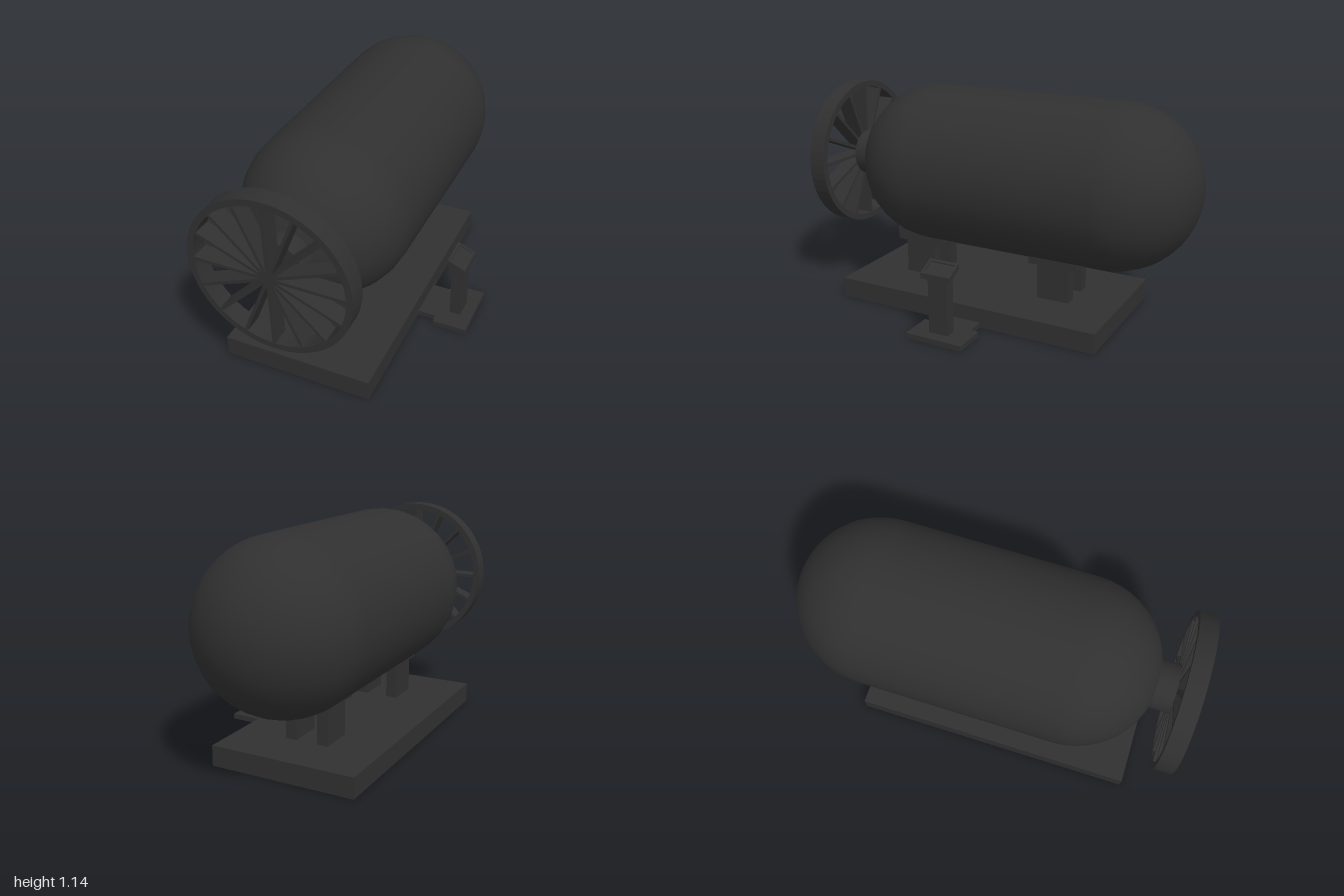
import * as THREE from 'three';

export function createModel() {
  const model = new THREE.Group();
  const iron = new THREE.MeshStandardMaterial({ color: 0x303030 });
  iron.name = 'dark iron';

  const add = (name, geometry, parent = model) => {
    const mesh = new THREE.Mesh(geometry, iron);
    mesh.name = name;
    parent.add(mesh);
    return mesh;
  };
  // Box given by its limits on each axis
  const box = (name, x0, x1, y0, y1, z0, z1, parent = model) => {
    const mesh = add(name, new THREE.BoxGeometry(x1 - x0, y1 - y0, z1 - z0), parent);
    mesh.position.set((x0 + x1) / 2, (y0 + y1) / 2, (z0 + z1) / 2);
    return mesh;
  };

  const cx = -0.115, cy = 0.728, radius = 0.417;

  // Round-ended tank lying along z
  const tank = add('tank', new THREE.CapsuleGeometry(radius, 1.0, 12, 32));
  tank.rotation.x = Math.PI / 2;
  tank.position.set(cx, cy, -0.083);

  // Front wheel: rim, spokes and the neck joining it to the tank
  const wheel = new THREE.Group();
  wheel.name = 'wheel';
  wheel.position.set(cx, cy, 0.91);
  model.add(wheel);

  const ring = new THREE.Shape().absarc(0, 0, 0.395, 0, Math.PI * 2, false);
  ring.holes.push(new THREE.Path().absarc(0, 0, 0.363, 0, Math.PI * 2, true));
  add('rim', new THREE.ExtrudeGeometry(ring, { depth: 0.09, bevelEnabled: false, curveSegments: 32 }), wheel);

  for (let i = 0; i < 8; i++) {
    const spoke = add('spokePair', new THREE.BoxGeometry(0.74, 0.016, 0.088), wheel);
    spoke.position.z = 0.045;
    spoke.rotation.z = i * Math.PI / 8;
  }
  const neck = add('neck', new THREE.CylinderGeometry(0.123, 0.123, 0.13, 32), wheel);
  neck.rotation.x = Math.PI / 2;
  neck.position.z = -0.065;

  // Base slab
  box('base', -0.495, 0.262, 0, 0.105, -0.635, 0.835);

  // Four legs with saddles under the tank
  for (const side of [-1, 1]) {
    for (const z of [0.498, -0.298]) {
      const x = cx + side * 0.086;
      box('leg', x - 0.03, x + 0.03, 0.105, 0.3, z - 0.088, z + 0.088);
      box('saddle', x - 0.045, x + 0.045, 0.292, 0.36, z - 0.132, z + 0.132);
    }
  }

  // Control stand beside the base
  const stand = new THREE.Group();
  stand.name = 'controlStand';
  model.add(stand);
  box('link', 0.262, 0.36, 0, 0.026, -0.017, 0.207, stand);
  box('foot', 0.357, 0.533, 0, 0.028, -0.062, 0.25, stand);
  box('post', 0.415, 0.472, 0.028, 0.335, 0.045, 0.152, stand);

  // Sloping panel: boxes sheared so that the outer side is lower
  const sheared = (name, x0, x1, low, high, z0, z1) => {
    const mesh = box(name, x0, x1, low, high, z0, z1, stand);
    const p = mesh.geometry.attributes.position;
    for (let i = 0; i < p.count; i++) {
      p.setY(i, p.getY(i) - (p.getX(i) + mesh.position.x - 0.445) * 0.47);
    }
    mesh.geometry.computeVertexNormals();
  };
  const [a, b, z0, z1, rim] = [0.399, 0.491, 0.018, 0.181, 0.013];
  sheared('panelTray', a, b, 0.338, 0.36, z0, z1);
  for (const [x, x2] of [[a, a + rim], [b - rim, b]]) sheared('panelRim', x, x2, 0.36, 0.367, z0, z1);
  for (const [z, z2] of [[z0, z0 + rim], [z1 - rim, z1]]) {
    sheared('panelRim', a + rim, b - rim, 0.36, 0.367, z, z2);
  }

  return model;
}
